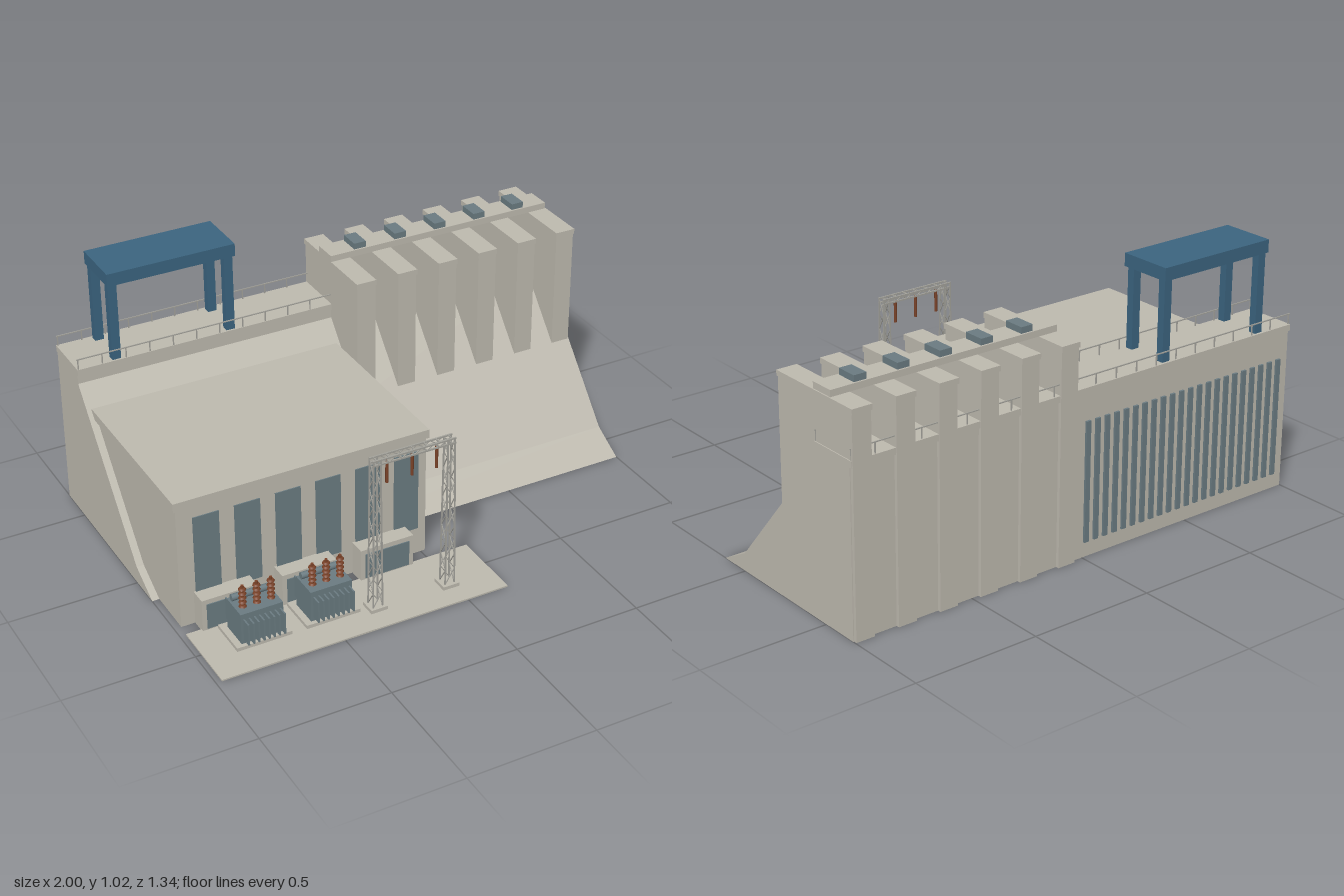
import * as THREE from 'three';
import { mergeGeometries } from 'three/addons/utils/BufferGeometryUtils.js';

const mat = (name, color, side = THREE.FrontSide) => {
  const m = new THREE.MeshStandardMaterial({ color, side });
  m.name = name;
  return m;
};

// Box given by its limits on each axis
const box = (x0, x1, y0, y1, z0, z1) =>
  new THREE.BoxGeometry(x1 - x0, y1 - y0, z1 - z0)
    .translate((x0 + x1) / 2, (y0 + y1) / 2, (z0 + z1) / 2);

// Thin square bar between two points
function bar(a, b, w) {
  const p = new THREE.Vector3(...a), q = new THREE.Vector3(...b);
  const d = q.clone().sub(p);
  const g = new THREE.BoxGeometry(w, d.length(), w);
  g.applyQuaternion(new THREE.Quaternion().setFromUnitVectors(new THREE.Vector3(0, 1, 0), d.normalize()));
  return g.translate((p.x + q.x) / 2, (p.y + q.y) / 2, (p.z + q.z) / 2);
}

// Extrude a (z, y) profile along x and drop the faces lying on the ground
function openShell(profile, x0, x1) {
  const shape = new THREE.Shape(profile.map(([z, y]) => new THREE.Vector2(z, y)));
  const g = new THREE.ExtrudeGeometry(shape, { depth: x1 - x0, bevelEnabled: false });
  g.rotateY(-Math.PI / 2).translate(x1, 0, 0);
  const p = g.attributes.position, out = [];
  for (let i = 0; i < p.count; i += 3) {
    const onGround = [0, 1, 2].every(k => Math.abs(p.getY(i + k)) < 1e-5);
    if (!onGround) for (let k = 0; k < 3; k++) out.push(p.getX(i + k), p.getY(i + k), p.getZ(i + k));
  }
  const shell = new THREE.BufferGeometry();
  shell.setAttribute('position', new THREE.Float32BufferAttribute(out, 3));
  shell.computeVertexNormals();
  return shell;
}

export function createModel() {
  const root = new THREE.Group();
  root.name = 'damWithPowerhouse';
  const shellConcrete = mat('concrete shell', 0xbdb9ae, THREE.DoubleSide);
  const concrete = shellConcrete;
  const steel = mat('blue grey steel', 0x6a7b81);
  const craneBlue = mat('crane blue', 0x3b647f);
  const rust = mat('insulator brown', 0x7a4228);
  const lattice = mat('galvanised grey', 0xa3a29b);

  const add = (name, geos, material, parent = root) => {
    const m = new THREE.Mesh(Array.isArray(geos) ? mergeGeometries(geos) : geos, material);
    m.name = name;
    parent.add(m);
    return m;
  };

  // Dam body and crest road
  add('damBody', openShell(
    [[-0.655, 0], [0.13, 0], [0, 0.07], [-0.46, 0.6], [-0.46, 0.635], [-0.655, 0.635]], -1, 1), shellConcrete);
  add('crestRoad', box(-1, 1, 0.635, 0.66, -0.665, -0.455), concrete);

  // Crest railings on both edges
  const rails = [];
  for (const z of [-0.46, -0.658]) {
    rails.push(box(-1, 1, 0.698, 0.702, z - 0.002, z + 0.002));
    for (let i = 0; i <= 21; i++) {
      const x = -0.995 + i * 1.99 / 21;
      rails.push(box(x - 0.002, x + 0.002, 0.66, 0.7, z - 0.002, z + 0.002));
    }
  }
  add('crestRailings', rails, lattice);

  // Intake rack on the upstream face
  const rack = [];
  for (let i = 0; i < 22; i++) {
    const x = -0.95 + i * 0.0445;
    rack.push(box(x - 0.01, x + 0.01, 0.06, 0.53, -0.664, -0.65));
  }
  add('intakeRack', rack, steel);

  // Spillway piers with caps, service bridge and gate hoists
  const piers = [], caps = [], hoists = [];
  for (let i = 0; i < 6; i++) {
    const x = 0.081 + i * 0.1755;
    piers.push(box(x - 0.038, x + 0.038, 0, 0.825, -0.668, -0.246));
    caps.push(box(x - 0.041, x + 0.041, 0.823, 0.844, -0.673, -0.242));
    if (i < 5) hoists.push(box(x + 0.063, x + 0.113, 0.868, 0.893, -0.541, -0.457));
  }
  add('spillwayPiers', piers, concrete);
  add('pierCaps', caps, concrete);
  add('serviceBridge', box(0.04, 0.995, 0.844, 0.869, -0.548, -0.45), concrete);
  add('gateHoists', hoists, steel);

  // Gantry crane on the crest
  const crane = new THREE.Group();
  crane.name = 'gantryCrane';
  root.add(crane);
  add('craneDeck', box(-0.865, -0.357, 0.97, 1.02, -0.663, -0.45), craneBlue, crane);
  const legs = [];
  for (const x of [-0.842, -0.38]) for (const z of [-0.478, -0.64])
    legs.push(box(x - 0.017, x + 0.017, 0.66, 0.97, z - 0.015, z + 0.015));
  add('craneLegs', legs, craneBlue, crane);

  // Powerhouse hall, roof and tall windows
  add('powerhouseHall', openShell([[0.32, 0], [0.32, 0.49], [-0.35, 0.49], [-0.35, 0]], -0.972, 0.018), shellConcrete);
  add('powerhouseRoof', box(-0.982, 0.028, 0.49, 0.525, -0.39, 0.326), concrete);
  const windows = [];
  for (let i = 0; i < 6; i++) {
    const x = -0.86 + i * 0.159;
    windows.push(box(x - 0.05, x + 0.05, 0.11, 0.445, 0.318, 0.324));
  }
  add('hallWindows', windows, steel);

  // Low annexes with shutter doors
  const annexes = [], doors = [];
  for (const x of [-0.81, -0.495, -0.178]) {
    annexes.push(box(x - 0.108, x + 0.108, 0, 0.134, 0.31, 0.386));
    doors.push(box(x - 0.09, x + 0.09, 0.012, 0.115, 0.384, 0.39));
  }
  add('annexes', annexes, concrete);
  add('annexDoors', doors, steel);

  // Switchyard pad
  add('switchyardPad', box(-0.978, 0.165, 0, 0.006, 0.373, 0.668), concrete);

  // Transformers
  for (const x of [-0.757, -0.485]) {
    const t = new THREE.Group();
    t.name = 'transformer';
    t.position.set(x, 0, 0.48);
    root.add(t);
    add('plinth', box(-0.107, 0.107, 0, 0.02, -0.085, 0.072), concrete, t);
    add('tank', box(-0.082, 0.082, 0.02, 0.144, -0.058, 0.056), steel, t);
    const fins = [];
    for (let i = 0; i < 8; i++) {
      const fx = -0.07 + i * 0.02;
      fins.push(box(fx - 0.003, fx + 0.003, 0.035, 0.122, -0.092, 0.094));
    }
    add('radiatorFins', fins, steel, t);
    add('conservator', new THREE.CylinderGeometry(0.013, 0.013, 0.15, 12)
      .rotateZ(Math.PI / 2).translate(0, 0.158, -0.035), steel, t);
    const bushings = [];
    for (const bx of [-0.055, 0, 0.055]) {
      bushings.push(new THREE.CylinderGeometry(0.006, 0.006, 0.095, 8).translate(bx, 0.19, 0.017));
      for (let k = 0; k < 5; k++)
        bushings.push(new THREE.CylinderGeometry(0.011, 0.015, 0.007, 10).translate(bx, 0.152 + k * 0.018, 0.017));
    }
    add('bushings', bushings, rust, t);
  }

  // Lattice line portal: two tapered masts and a trussed beam
  const portal = new THREE.Group();
  portal.name = 'linePortal';
  root.add(portal);
  const pz = 0.552, members = [], feet = [];
  const corners = [[-1, -1], [1, -1], [1, 1], [-1, 1]];
  for (const x of [-0.318, -0.022]) {
    feet.push(box(x - 0.033, x + 0.033, 0, 0.02, pz - 0.033, pz + 0.033));
    const at = (c, f) => {
      const h = 0.019 - 0.005 * f;
      return [x + c[0] * h, 0.02 + 0.61 * f, pz + c[1] * h];
    };
    corners.forEach((c, i) => {
      const n = corners[(i + 1) % 4];
      members.push(bar(at(c, 0), at(c, 1), 0.005));
      for (let k = 0; k < 10; k++)
        members.push(k % 2 ? bar(at(c, k / 10), at(n, (k + 1) / 10), 0.003)
          : bar(at(n, k / 10), at(c, (k + 1) / 10), 0.003));
    });
  }
  for (const z of [pz - 0.014, pz + 0.014]) {
    for (const y of [0.614, 0.632]) members.push(bar([-0.335, y, z], [-0.005, y, z], 0.006));
    for (let k = 0; k < 12; k++) {
      const x = -0.32 + k * 0.025, up = k % 2;
      members.push(bar([x, up ? 0.632 : 0.614, z], [x + 0.025, up ? 0.614 : 0.632, z], 0.003));
    }
  }
  for (let k = 0; k <= 6; k++) {
    const x = -0.32 + k * 0.05;
    members.push(bar([x, 0.632, pz - 0.014], [x, 0.632, pz + 0.014], 0.004));
    members.push(bar([x, 0.614, pz - 0.014], [x, 0.614, pz + 0.014], 0.004));
  }
  add('latticeMembers', members, lattice, portal);
  add('portalFeet', feet, concrete, portal);
  const strings = [-0.272, -0.172, -0.074].map(x =>
    new THREE.CylinderGeometry(0.006, 0.006, 0.09, 8).translate(x, 0.568, pz));
  add('hangingInsulators', strings, rust, portal);

  return root;
}
